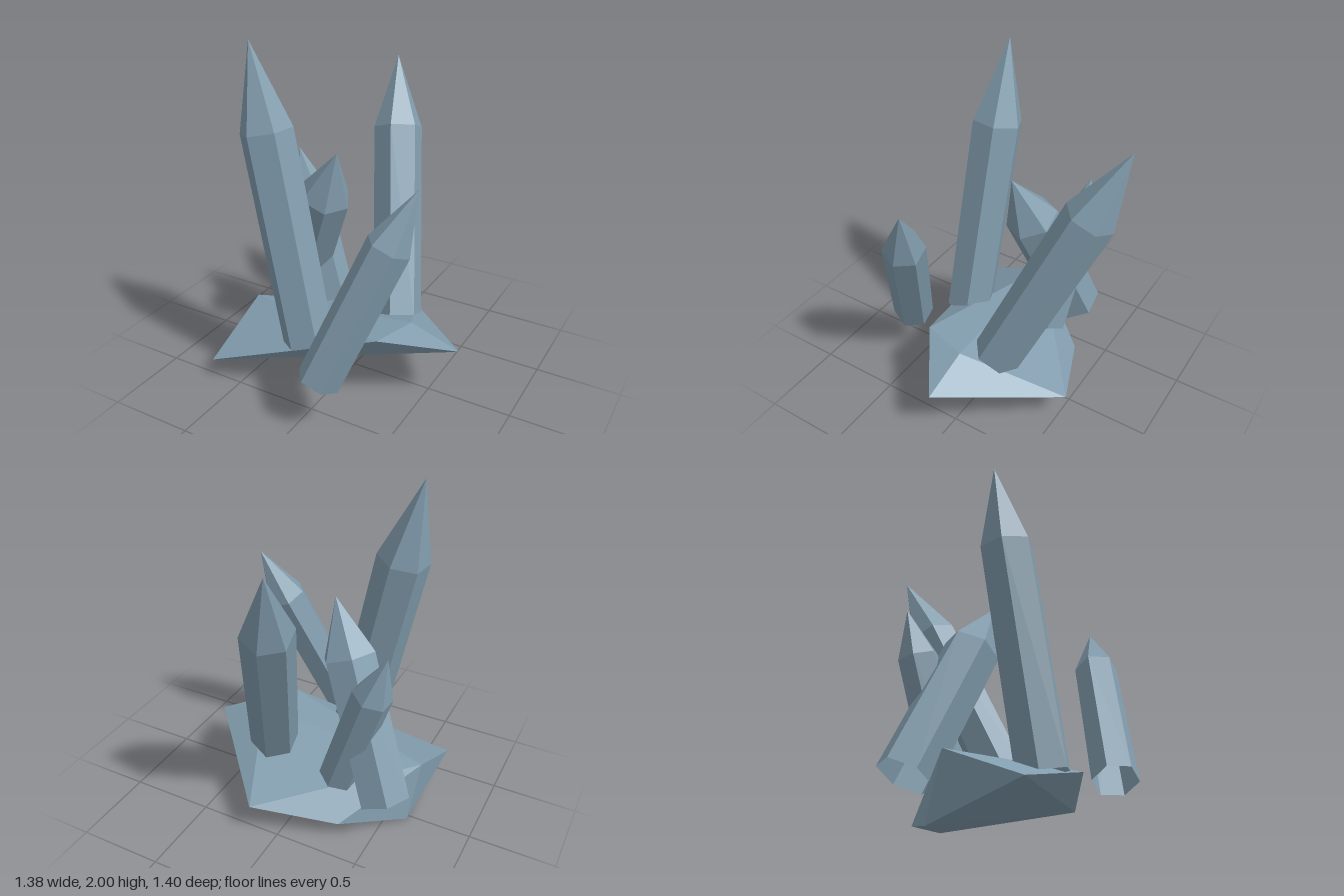
import * as THREE from 'three';
import { ConvexGeometry } from 'three/addons/geometries/ConvexGeometry.js';

const V = (a) => new THREE.Vector3(...a);

// Six-sided crystal, open at the root, pointed at the tip.
// corner: rough direction in which one of the six edges points
function crystal(name, root, tip, radius, corner, material) {
  const axis = V(tip).sub(V(root));
  const length = axis.length();
  axis.normalize();

  const profile = [
    new THREE.Vector2(radius, 0),
    new THREE.Vector2(radius, length * 0.72),
    new THREE.Vector2(0, length),
  ];
  const geometry = new THREE.LatheGeometry(profile, 6).toNonIndexed();
  geometry.computeVertexNormals();

  // Align y with the axis and z with the chosen edge
  const edge = V(corner).projectOnPlane(axis).normalize();
  const side = new THREE.Vector3().crossVectors(axis, edge);
  const mesh = new THREE.Mesh(geometry, material);
  mesh.name = name;
  mesh.quaternion.setFromRotationMatrix(new THREE.Matrix4().makeBasis(side, axis, edge));
  mesh.position.copy(V(root));
  return mesh;
}

export function createModel() {
  const group = new THREE.Group();
  group.name = 'crystalCluster';

  const stone = new THREE.MeshStandardMaterial({
    color: 0x829dae, flatShading: true, side: THREE.DoubleSide,
  });
  stone.name = 'blueGreyCrystal';

  // Tilted rock shard the crystals grow from
  const rock = new THREE.Mesh(new ConvexGeometry([
    [-0.665, 0.13, 0.54],
    [-0.65, 0.345, 0.08],
    [-0.62, 0.0, -0.03],
    [-0.325, 0.105, -0.36],
    [0.15, 0.19, -0.55],
    [0.69, 0.345, 0.035],
    [0.39, 0.44, 0.03],
    [0.31, 0.445, 0.305],
  ].map(V)), stone);
  rock.name = 'baseRock';
  group.add(rock);

  // Crystals: name, root centre, tip, radius, edge direction
  [
    ['tallCrystal', [-0.13, 0.32, 0.31], [-0.49, 2.0, 0.25], 0.15, [-0.02, 0, 0.15]],
    ['backCrystal', [0.225, 0.375, -0.12], [-0.095, 1.77, -0.7], 0.145, [0.12, -0.05, -0.07]],
    ['frontCrystal', [0.11, 0.295, 0.59], [0.52, 1.38, 0.28], 0.123, [0.112, -0.045, -0.01]],
    ['leftCrystal', [-0.545, 0.29, -0.232], [-0.115, 1.36, 0.0], 0.157, [-0.145, 0.059, 0.012]],
    ['smallCrystal', [-0.245, 0.32, -0.2], [-0.545, 1.235, -0.278], 0.113, [-0.01, 0, 0.115]],
  ].forEach((c) => group.add(crystal(...c, stone)));

  return group;
}
